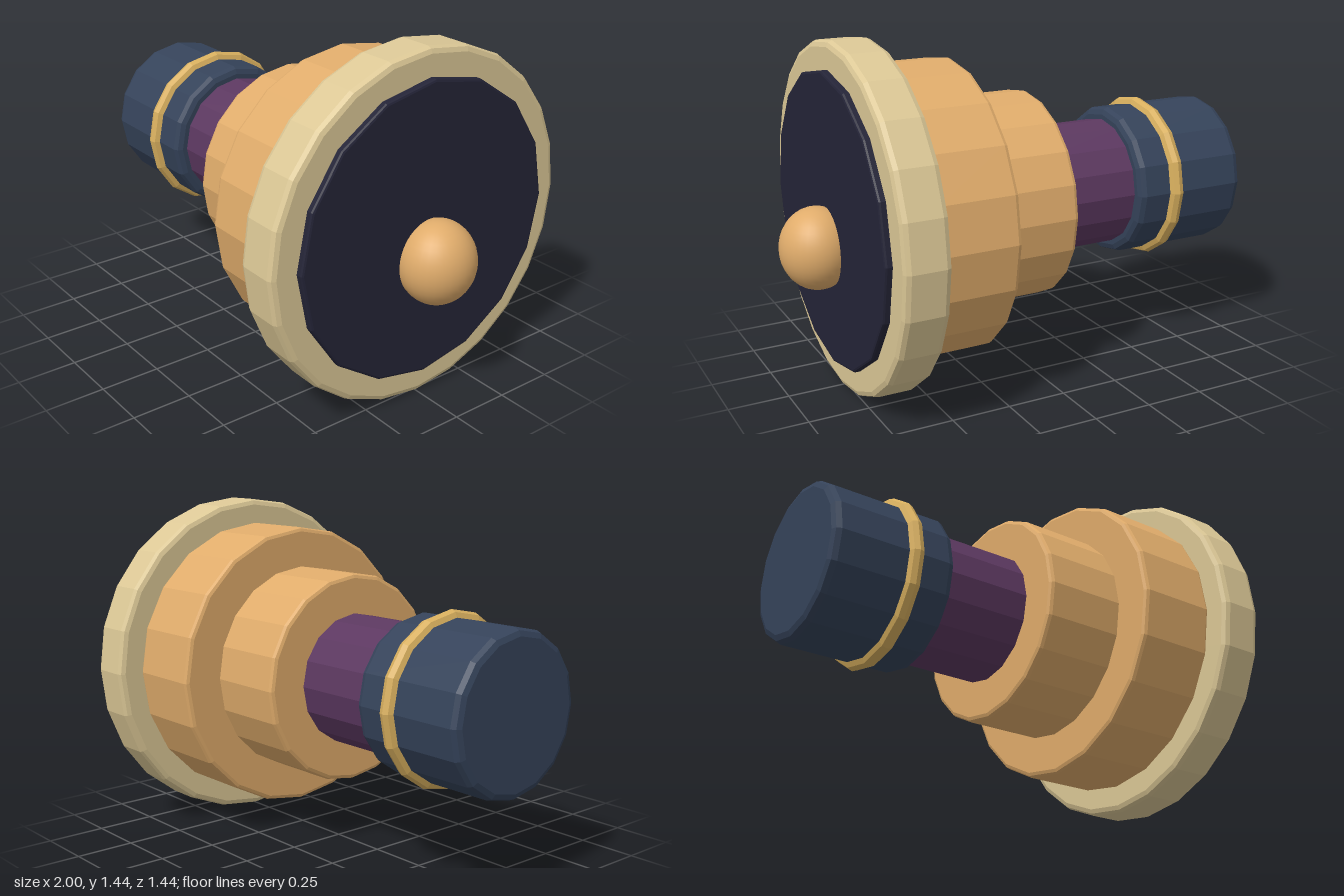
import * as THREE from 'three';

const AXIS_Y = 0.72; // height of the horizontal axis

function paint(name, color) {
  const m = new THREE.MeshStandardMaterial({ color });
  m.name = name;
  return m;
}

// Give every facet its own normal
function faceted(geometry) {
  const g = geometry.toNonIndexed();
  g.computeVertexNormals();
  return g;
}

// Solid disc or drum along x with rounded rims
function drum(name, x0, x1, radius, bevel, sides, material) {
  const points = [new THREE.Vector2(0, x0)];
  const steps = 2;
  for (let i = 0; i <= steps; i++) {
    const a = (i / steps) * Math.PI / 2;
    points.push(new THREE.Vector2(radius - bevel + bevel * Math.sin(a), x0 + bevel - bevel * Math.cos(a)));
  }
  for (let i = 0; i <= steps; i++) {
    const a = (i / steps) * Math.PI / 2;
    points.push(new THREE.Vector2(radius - bevel + bevel * Math.cos(a), x1 - bevel + bevel * Math.sin(a)));
  }
  points.push(new THREE.Vector2(0, x1));
  const mesh = new THREE.Mesh(faceted(new THREE.LatheGeometry(points, sides)), material);
  mesh.name = name;
  mesh.rotation.z = -Math.PI / 2;
  mesh.position.y = AXIS_Y;
  return mesh;
}

export function createModel() {
  const model = new THREE.Group();
  model.name = 'steppedDrum';

  const orange = paint('warm orange', 0xe0ac6b);
  const cream = paint('cream', 0xdcc896);
  const navy = paint('navy', 0x35435a);
  const purple = paint('purple', 0x5c3860);
  const gold = paint('gold', 0xd8af5e);
  const ink = paint('dark ink', 0x242437);

  // Stepped body, from the grip end to the face
  model.add(
    drum('grip', -1, -0.475, 0.326, 0.03, 16, navy),
    drum('neck', -0.5, -0.08, 0.275, 0.005, 16, purple),
    drum('smallStep', -0.1, 0.27, 0.441, 0.018, 20, orange),
    drum('largeStep', 0.25, 0.6, 0.611, 0.018, 20, orange),
    drum('rim', 0.588, 0.775, 0.718, 0.025, 24, cream),
    drum('facePlate', 0.76, 0.805, 0.606, 0.01, 16, ink)
  );

  // Band around the grip
  const band = new THREE.Mesh(faceted(new THREE.TorusGeometry(0.325, 0.031, 8, 16)), gold);
  band.name = 'gripBand';
  band.rotation.y = Math.PI / 2;
  band.position.set(-0.654, AXIS_Y, 0);
  model.add(band);

  // Smooth knob, a little below the centre of the face
  const knob = new THREE.Mesh(new THREE.SphereGeometry(1, 32, 20), orange);
  knob.name = 'knob';
  knob.scale.set(0.15, 0.169, 0.157);
  knob.position.set(0.85, 0.617, 0);
  model.add(knob);

  return model;
}
